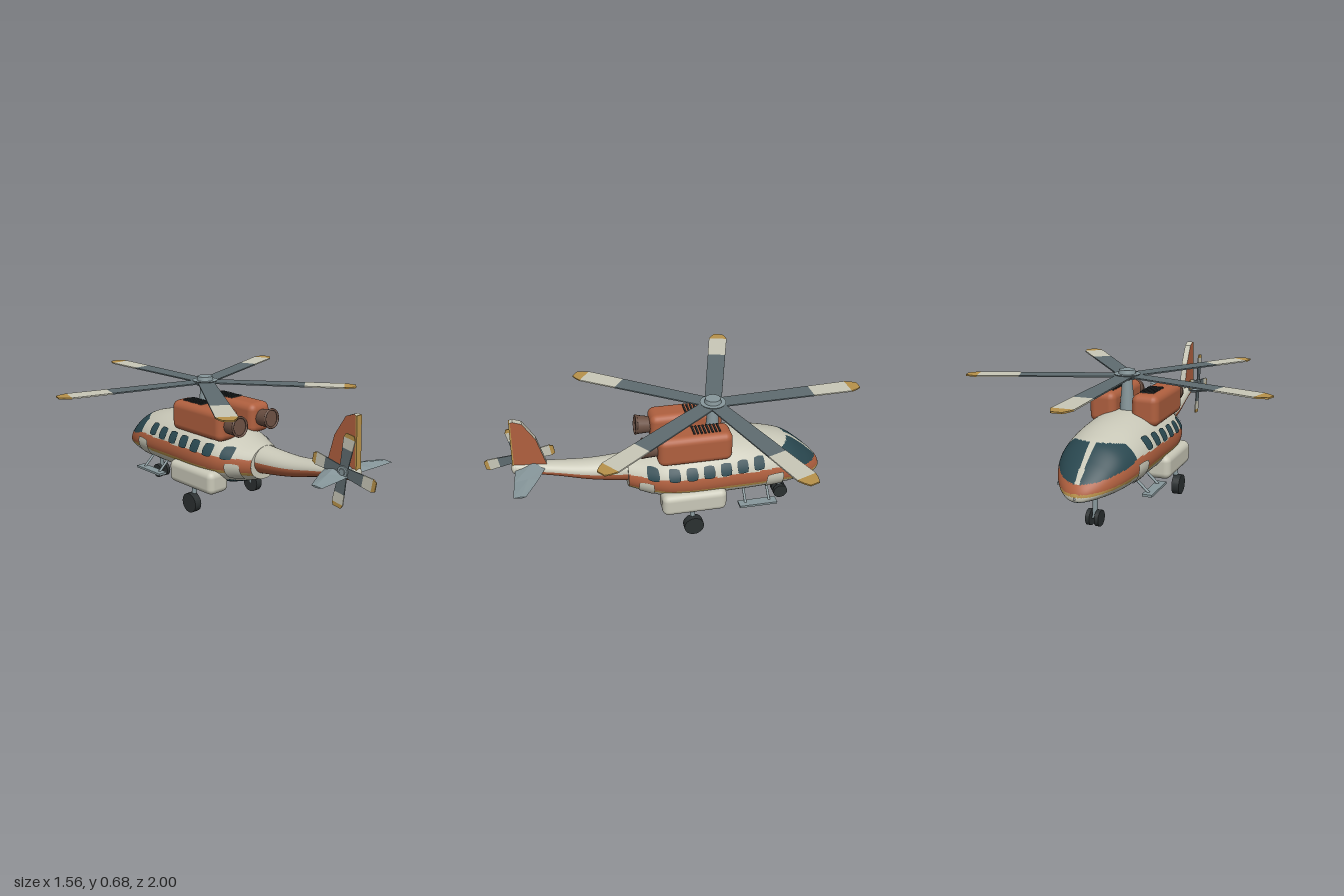
import * as THREE from 'three';
import { RoundedBoxGeometry } from 'three/addons/geometries/RoundedBoxGeometry.js';

const mat = (name, color) => new THREE.MeshStandardMaterial({ name, color });
const M = {
  cream: mat('cream', 0xc9c8b8), orange: mat('orange', 0xb0603f), glass: mat('dark teal', 0x29474f),
  ochre: mat('ochre', 0xb8924a), blade: mat('blade grey', 0x5f6c70), metal: mat('light grey', 0x87979b),
  tyre: mat('tyre black', 0x2b3031), brown: mat('exhaust brown', 0x6b5043),
};

// Hull sections: z, half width, top, bottom, height of widest point
const BODY = [
  [-0.805, 0.004, 0.212, 0.2, 0.206], [-0.797, 0.036, 0.235, 0.188, 0.21], [-0.78, 0.065, 0.262, 0.182, 0.216],
  [-0.74, 0.105, 0.303, 0.176, 0.23], [-0.69, 0.14, 0.348, 0.17, 0.248], [-0.61, 0.178, 0.408, 0.162, 0.27],
  [-0.52, 0.2, 0.438, 0.157, 0.285], [-0.4, 0.213, 0.463, 0.152, 0.295], [-0.25, 0.218, 0.478, 0.148, 0.3],
  [-0.1, 0.22, 0.475, 0.143, 0.3], [0, 0.216, 0.463, 0.144, 0.3], [0.1, 0.198, 0.438, 0.16, 0.3],
  [0.2, 0.15, 0.41, 0.192, 0.3], [0.275, 0.108, 0.394, 0.217, 0.3],
];
const BOOM = [
  [0.22, 0.088, 0.396, 0.238, 0.32], [0.46, 0.066, 0.386, 0.276, 0.332],
  [0.67, 0.047, 0.404, 0.33, 0.367], [0.85, 0.03, 0.423, 0.357, 0.39],
];

// Smooth interpolation of a section table
function sectionAt(rows, z) {
  let i = 0;
  while (i < rows.length - 2 && z > rows[i + 1][0]) i++;
  const a = rows[i], b = rows[i + 1], h = b[0] - a[0], t = (z - a[0]) / h;
  const p = rows[Math.max(i - 1, 0)], n = rows[Math.min(i + 2, rows.length - 1)];
  return [1, 2, 3, 4].map((k) => {
    const ma = (b[k] - p[k]) / (b[0] - p[0]) * h, mb = (n[k] - a[k]) / (n[0] - a[0]) * h;
    return (2 * t ** 3 - 3 * t * t + 1) * a[k] + (t ** 3 - 2 * t * t + t) * ma
      + (3 * t * t - 2 * t ** 3) * b[k] + (t ** 3 - t * t) * mb;
  });
}
function ringPoint(rows, z, ang) {
  const [w, top, bot, c] = sectionAt(rows, z), s = Math.sin(ang);
  return [w * Math.cos(ang), c + s * (s > 0 ? top - c : c - bot), z];
}

// Loft whose quads are sorted into material groups by a paint rule
function loft(rows, nz, na, paint) {
  const pos = [], buckets = new Map(), z0 = rows[0][0], z1 = rows[rows.length - 1][0];
  const point = (i, j) => ringPoint(rows, z0 + (z1 - z0) * (i / nz) ** 1.25, (j % na) / na * Math.PI * 2);
  for (let i = 0; i <= nz; i++) for (let j = 0; j < na; j++) pos.push(...point(i, j));
  for (let i = 0; i < nz; i++) for (let j = 0; j < na; j++) {
    const m = paint(...point(i + 0.5, j + 0.5)), k = (j + 1) % na;
    if (!buckets.has(m)) buckets.set(m, []);
    const a = i * na + j, b = i * na + k, c = b + na, d = a + na;
    buckets.get(m).push(a, b, c, a, c, d);
  }
  const g = new THREE.BufferGeometry(), index = [], mats = [...buckets.keys()];
  mats.forEach((m, n) => {
    g.addGroup(index.length, buckets.get(m).length, n);
    for (const v of buckets.get(m)) index.push(v);
  });
  g.setAttribute('position', new THREE.Float32BufferAttribute(pos, 3));
  g.setIndex(index);
  g.computeVertexNormals();
  return new THREE.Mesh(g, mats);
}

// Livery bands and cockpit glazing
function paintBody(x, y, z) {
  const nose = Math.max(0, (-0.5 - z) / 0.3);
  if (y < 0.203 - 0.012 * nose) return M.glass;
  if (y < 0.248 - 0.035 * nose) return M.cream;
  if (y < 0.264 - 0.038 * nose) return M.ochre;
  if (y < 0.335 - 0.075 * nose) return M.orange;
  const back = y < 0.4 ? -0.525 : -0.525 - (y - 0.4) * 5;
  if (z < back && z > -0.782 && Math.abs(x) > 0.012 + 0.02 * (z + 0.78)) return M.glass;
  return M.cream;
}

export function createModel() {
  const root = new THREE.Group();
  root.name = 'helicopter';
  const model = new THREE.Group();
  model.name = 'airframe';
  model.position.x = 0.006;
  root.add(model);
  const add = (name, geo, m, x = 0, y = 0, z = 0, parent = model) => {
    const mesh = geo.isMesh ? geo : new THREE.Mesh(geo, m);
    mesh.name = name;
    mesh.position.set(x, y, z);
    parent.add(mesh);
    return mesh;
  };
  const rod = (name, a, b, r, m) => {
    const A = new THREE.Vector3(...a), B = new THREE.Vector3(...b), d = B.clone().sub(A);
    const mesh = add(name, new THREE.CylinderGeometry(r, r, d.length(), 10), m, ...A.add(B).multiplyScalar(0.5).toArray());
    mesh.quaternion.setFromUnitVectors(new THREE.Vector3(0, 1, 0), d.normalize());
  };
  const disc = (r, w) => new THREE.CylinderGeometry(r, r, w, 24).rotateZ(Math.PI / 2);

  // Fuselage, rear bulkhead and tail boom
  add('fuselage', loft(BODY, 130, 144, paintBody));
  const rim = Array.from({ length: 48 }, (_, j) => new THREE.Vector2(...ringPoint(BODY, 0.275, j / 24 * Math.PI).slice(0, 2)));
  add('rearBulkhead', new THREE.ShapeGeometry(new THREE.Shape(rim)), M.cream, 0, 0, 0.275);
  add('tailBoom', loft(BOOM, 30, 48, (x, y, z) => {
    const [, top, bot] = sectionAt(BOOM, z);
    return y < bot + (top - bot) * 0.5 ? M.orange : M.cream;
  }));
  add('boomCap', new THREE.SphereGeometry(0.033, 20, 12), M.cream, 0, 0.39, 0.848).scale.z = 0.6;

  // Thin panels that hug the hull side
  const panel = (name, m, s, zc, yc, w, h, round) => {
    const g = new THREE.PlaneGeometry(2, 2, 8, 8), p = g.attributes.position;
    for (let i = 0; i < p.count; i++) {
      const u = p.getX(i), v = p.getY(i);
      const z = zc - s * u * (1 - round * v * v) * w / 2, y = yc + v * (1 - round * u * u) * h / 2;
      const [hw, top, bot, c] = sectionAt(BODY, z), k = (y - c) / (y > c ? top - c : c - bot);
      p.setXYZ(i, s * (hw * Math.sqrt(Math.max(0, 1 - k * k)) + 0.008), y, z);
    }
    g.computeVertexNormals();
    add(name, g, m);
  };

  for (const s of [-1, 1]) {
    [0.155, 0.05, -0.04, -0.13, -0.22, -0.31, -0.4].forEach((z, i) =>
      panel('cabinWindow', M.glass, s, z, 0.358 + i * 0.003, 0.06, 0.062, 0.14));
    panel('frontDoor', M.cream, s, -0.49, 0.257, 0.098, 0.108, 0.08);
    panel('rearDoor', M.cream, s, 0.19, 0.265, 0.075, 0.09, 0.08);

    // Engine pod with grille and exhaust
    add('enginePod', new RoundedBoxGeometry(0.145, 0.163, 0.39, 3, 0.038), M.orange, s * 0.115, 0.488, -0.065);
    for (let i = 0; i < 8; i++)
      add('engineGrille', new THREE.BoxGeometry(0.075, 0.012, 0.009), M.tyre, s * 0.11, 0.57, -0.195 + i * 0.019);
    const pipe = new THREE.CylinderGeometry(0.052, 0.042, 0.085, 20, 1, true);
    const exhaust = new THREE.Group();
    exhaust.name = 'exhaust';
    exhaust.position.set(s * 0.115, 0.495, 0.16);
    exhaust.rotation.x = Math.PI / 2 - 0.1;
    model.add(exhaust);
    add('exhaustPipe', pipe, M.brown, 0, 0, 0, exhaust);
    add('exhaustLip', new THREE.TorusGeometry(0.049, 0.006, 8, 20).rotateX(Math.PI / 2), M.brown, 0, 0.042, 0, exhaust);
    add('exhaustCore', new THREE.CircleGeometry(0.049, 20).rotateX(-Math.PI / 2), M.brown, 0, 0.036, 0, exhaust);

    // Sponson and main gear
    add('sponson', new RoundedBoxGeometry(0.135, 0.125, 0.345, 3, 0.034), M.cream, s * 0.174, 0.192, -0.053);
    rod('mainStrut', [s * 0.222, 0.055, -0.045], [s * 0.205, 0.16, -0.04], 0.014, M.metal);
    add('mainWheel', disc(0.053, 0.04), M.tyre, s * 0.229, 0.053, -0.045);

    // Boarding step
    add('boardingStep', new THREE.BoxGeometry(0.05, 0.012, 0.205), M.metal, s * 0.226, 0.145, -0.395);
    for (const z of [-0.46, -0.33]) rod('stepBracket', [s * 0.222, 0.147, z], [s * 0.16, 0.205, z], 0.007, M.metal);

    // Nose wheel pair
    add('noseWheel', disc(0.04, 0.021), M.tyre, s * 0.023, 0.04, -0.595);
  }
  rod('noseStrut', [0, 0.04, -0.595], [0, 0.19, -0.585], 0.013, M.metal);
  rod('noseAxle', [-0.03, 0.04, -0.595], [0.03, 0.04, -0.595], 0.008, M.metal);

  // Blade along +x from [start, end, start width, end width, material] strips
  const blade = (name, strips, t) => {
    const g = new THREE.Group();
    g.name = name;
    for (const [a, b, wa, wb, m] of strips) {
      const shape = new THREE.Shape([[a, -wa], [b, -wb], [b, wb], [a, wa]].map(([x, y]) => new THREE.Vector2(x, y / 2)));
      add(name + 'Section', new THREE.ExtrudeGeometry(shape, { depth: t, bevelEnabled: false }), m, 0, 0, -t / 2, g);
    }
    return g;
  };

  // Main rotor
  add('rotorMast', new THREE.CylinderGeometry(0.024, 0.042, 0.2, 20), M.metal, 0, 0.545, -0.19);
  add('rotorHub', new THREE.CylinderGeometry(0.068, 0.05, 0.026, 24), M.metal, 0, 0.648, -0.19);
  add('rotorCap', new THREE.CylinderGeometry(0.04, 0.045, 0.024, 24), M.metal, 0, 0.67, -0.19);
  for (let i = 0; i < 5; i++) {
    const b = blade('rotorBlade', [[0.02, 0.54, 0.088, 0.1, M.blade], [0.54, 0.75, 0.1, 0.106, M.cream],
      [0.75, 0.785, 0.106, 0.08, M.ochre], [0.785, 0.81, 0.08, 0.05, M.ochre]], 0.007);
    b.children.forEach((c) => { c.geometry.rotateX(-Math.PI / 2); c.position.set(0, -0.0035, 0); });
    b.position.set(0, 0.652, -0.19);
    b.rotation.y = THREE.MathUtils.degToRad(92 - i * 72);
    model.add(b);
  }

  // Tail fin with pale edges and ochre trailing edge
  const finShape = new THREE.Shape([[0.68, 0.38], [0.855, 0.38], [0.842, 0.668], [0.828, 0.672], [0.785, 0.655], [0.725, 0.555]]
    .map((p) => new THREE.Vector2(...p)));
  add('tailFin', new THREE.ExtrudeGeometry(finShape, { depth: 0.034, bevelEnabled: false }), [M.orange, M.cream], 0.017)
    .rotation.y = -Math.PI / 2;
  add('finTrailingEdge', new THREE.BoxGeometry(0.035, 0.255, 0.008), M.ochre, 0, 0.54, 0.849).rotation.x = -0.045;

  // Stabiliser from thin diamond sections along the span
  const span = [[-0.258, 0.8, 0.862, 0.005], [-0.13, 0.735, 0.855, 0.014], [0, 0.68, 0.845, 0.03],
    [0.13, 0.735, 0.855, 0.014], [0.258, 0.8, 0.862, 0.005]];
  const pts = span.map(([x, a, b, t]) => [[x, 0.39, a], [x, 0.388 + t, a + (b - a) * 0.4], [x, 0.39, b], [x, 0.388 - t, a + (b - a) * 0.4]]);
  const tri = [];
  const quad = (a, b, c, d) => tri.push(...a, ...b, ...c, ...a, ...c, ...d);
  for (let i = 0; i < 4; i++) for (let j = 0; j < 4; j++) {
    const k = (j + 1) % 4;
    quad(pts[i][j], pts[i][k], pts[i + 1][k], pts[i + 1][j]);
  }
  quad(...[...pts[0]].reverse());
  quad(...pts[4]);
  const wing = new THREE.BufferGeometry();
  wing.setAttribute('position', new THREE.Float32BufferAttribute(tri, 3));
  wing.computeVertexNormals();
  add('stabiliser', wing, M.metal);

  // Tail rotor on the right side
  rod('tailRotorShaft', [0.0, 0.41, 0.82], [-0.075, 0.41, 0.82], 0.016, M.metal);
  const tail = new THREE.Group();
  tail.name = 'tailRotor';
  tail.position.set(-0.06, 0.41, 0.82);
  tail.rotation.y = -Math.PI / 2;
  model.add(tail);
  add('tailRotorHub', new THREE.CylinderGeometry(0.028, 0.028, 0.02, 16).rotateX(Math.PI / 2), M.metal, 0, 0, 0, tail);
  for (let i = 0; i < 4; i++) {
    const b = blade('tailBlade', [[0.01, 0.11, 0.045, 0.058, M.blade], [0.11, 0.162, 0.058, 0.064, M.cream],
      [0.162, 0.182, 0.064, 0.045, M.ochre]], 0.006);
    b.rotation.z = THREE.MathUtils.degToRad(-9 + i * 90);
    tail.add(b);
  }
  return root;
}
